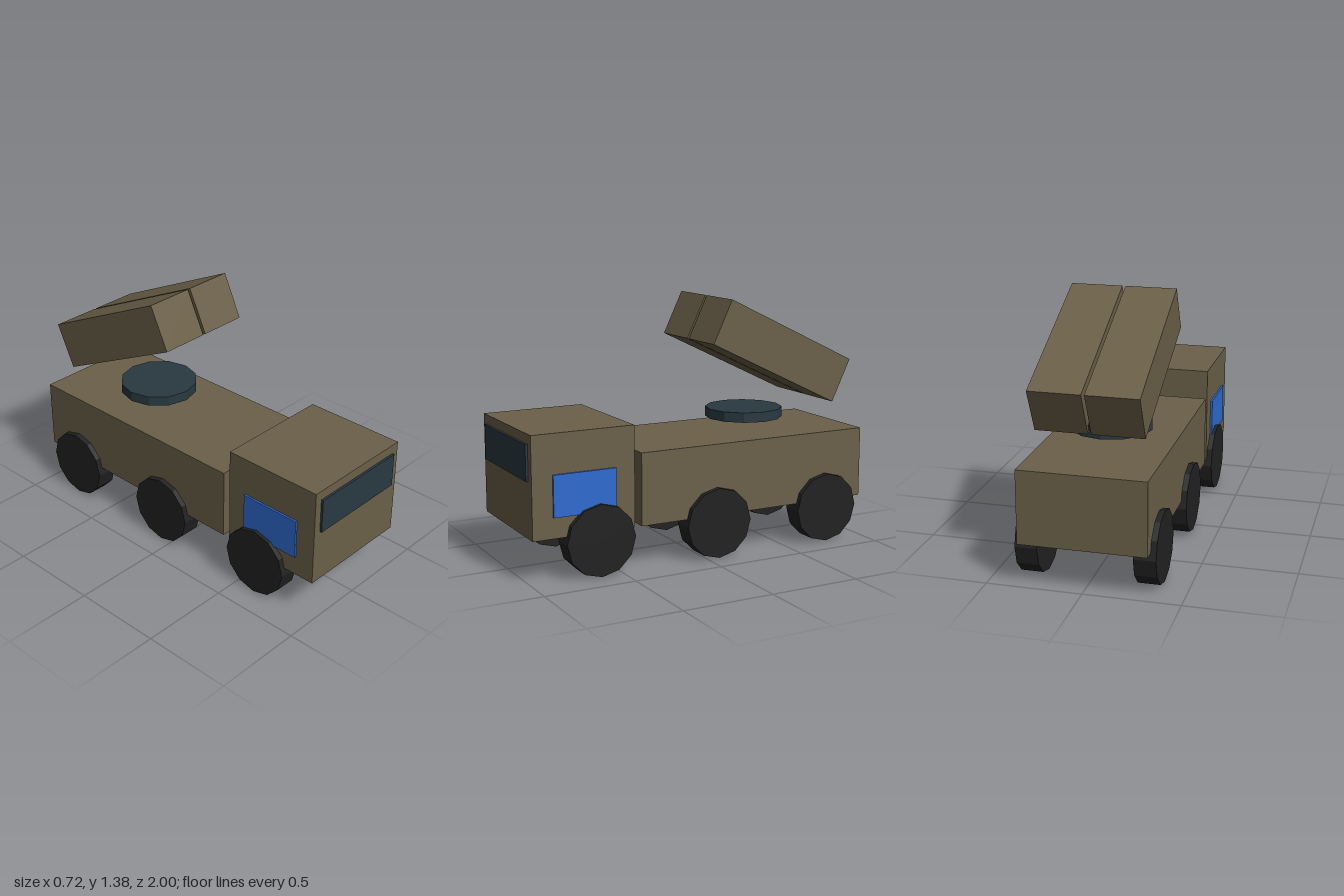
import * as THREE from 'three';

function material(name, color) {
  const m = new THREE.MeshStandardMaterial({ color });
  m.name = name;
  return m;
}

export function createModel() {
  const olive = material('olive paint', 0x6b6049);
  const black = material('tyre black', 0x222222);
  const slate = material('dark slate', 0x293941);
  const blue = material('door blue', 0x2e6bd0);

  const model = new THREE.Group();
  model.name = 'launcherTruck';

  function add(parent, name, geometry, mat, x, y, z) {
    const mesh = new THREE.Mesh(geometry, mat);
    mesh.name = name;
    mesh.position.set(x, y, z);
    parent.add(mesh);
    return mesh;
  }
  const box = (w, h, d) => new THREE.BoxGeometry(w, h, d);

  // Cab with windscreen, and the rear body behind a narrow gap
  add(model, 'cab', box(0.664, 0.54, 0.567), olive, 0, 0.5, 0.704);
  add(model, 'windscreen', box(0.58, 0.19, 0.02), slate, 0, 0.624, 0.99);
  add(model, 'body', box(0.664, 0.39, 1.38), olive, 0, 0.424, -0.31);

  // Door panels and six wheels
  const wheel = new THREE.CylinderGeometry(0.192, 0.192, 0.116, 12).toNonIndexed();
  wheel.rotateZ(Math.PI / 2);
  wheel.computeVertexNormals();
  for (const [side, s] of [['left', 1], ['right', -1]]) {
    add(model, side + 'DoorPanel', box(0.02, 0.22, 0.346), blue, s * 0.333, 0.45, 0.703);
    [0.622, -0.07, -0.76].forEach((z, i) =>
      add(model, side + 'Wheel' + (i + 1), wheel, black, s * 0.304, 0.192, z));
  }

  // Turntable
  const disc = new THREE.CylinderGeometry(0.216, 0.216, 0.055, 12).toNonIndexed();
  disc.computeVertexNormals();
  add(model, 'turntable', disc, slate, 0, 0.712, -0.43);

  // Tilted launcher: two long boxes joined by a low rail
  const launcher = new THREE.Group();
  launcher.name = 'launcher';
  launcher.position.set(0, 1.075, -0.512);
  launcher.rotation.x = -0.449;
  model.add(launcher);
  for (const [side, s] of [['left', 1], ['right', -1]]) {
    add(launcher, side + 'LaunchBox', box(0.273, 0.257, 0.85), olive, s * 0.1445, 0, 0);
  }
  add(launcher, 'launcherRail', box(0.1, 0.032, 0.81), slate, 0, -0.104, 0);

  return model;
}
